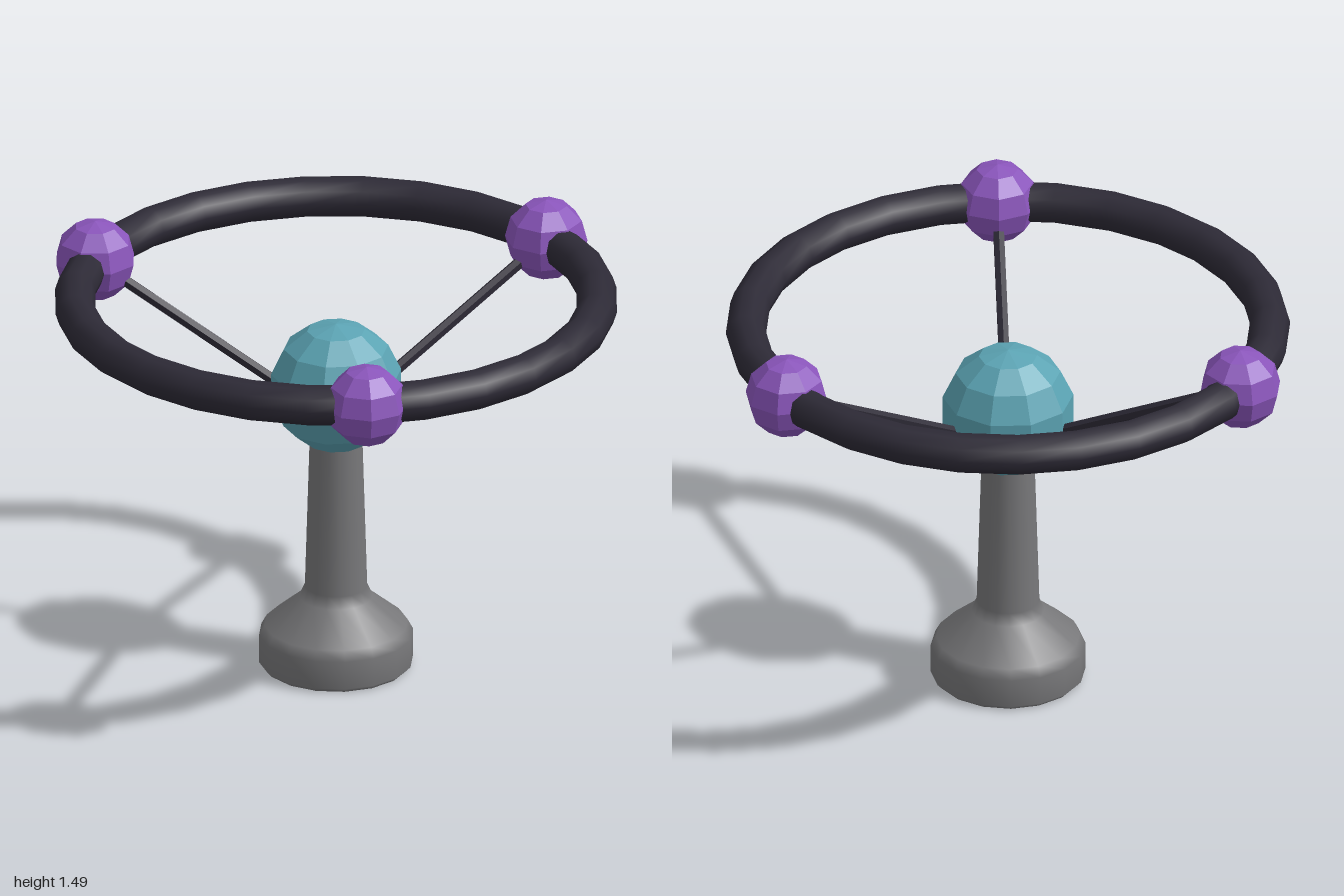
import * as THREE from 'three';

const RING_R = 0.893, RING_Y = 1.345, AXIS_Z = -0.037;

export function createModel() {
  const model = new THREE.Group();
  const mat = (color, flatShading = false) => new THREE.MeshStandardMaterial({ color, flatShading });
  const grey = mat(0x777779), dark = mat(0x2d2a36), darkFlat = mat(0x2d2a36, true);
  const teal = mat(0x5ba3b3, true), purple = mat(0x8a55bb, true);

  const add = (parent, name, geometry, material) => {
    const mesh = new THREE.Mesh(geometry, material);
    mesh.name = name;
    parent.add(mesh);
    return mesh;
  };

  // Everything turns around one vertical axis
  const body = new THREE.Group();
  body.name = 'body';
  body.position.z = AXIS_Z;
  model.add(body);

  // Weighted foot flowing into a slim, slightly tapered stem
  const profile = [
    [0.25, 0], [0.264, 0.015], [0.264, 0.115], [0.245, 0.15],
    [0.125, 0.25], [0.107, 0.29], [0.09, 0.85],
  ].map(([x, y]) => new THREE.Vector2(x, y));
  add(body, 'stand', new THREE.LatheGeometry(profile, 16), grey);
  const bottom = add(body, 'standBottom', new THREE.CircleGeometry(0.25, 16), grey);
  bottom.rotation.set(Math.PI / 2, 0, Math.PI / 2);

  // Faceted hub ball
  const hub = add(body, 'hub', new THREE.SphereGeometry(0.229, 10, 7), teal);
  hub.position.y = 1.03;

  // Horizontal ring
  const ring = add(body, 'ring', new THREE.TorusGeometry(RING_R, 0.069, 10, 28), dark);
  ring.rotation.set(Math.PI / 2, 0, Math.PI / 2);
  ring.position.y = RING_Y;

  // Three arms, each a slanted spoke and a faceted knob on the ring
  const inner = new THREE.Vector3(0, 0.995, 0.2);
  const outer = new THREE.Vector3(0, RING_Y - 0.005, RING_R);
  const along = outer.clone().sub(inner);
  for (let i = 0; i < 3; i++) {
    const arm = new THREE.Group();
    arm.name = 'arm' + (i + 1);
    arm.rotation.y = (i * Math.PI * 2) / 3;
    body.add(arm);

    const spoke = add(arm, 'spoke', new THREE.CylinderGeometry(0.021, 0.021, along.length(), 6), darkFlat);
    spoke.position.copy(inner).add(outer).multiplyScalar(0.5);
    spoke.quaternion.setFromUnitVectors(new THREE.Vector3(0, 1, 0), along.clone().normalize());

    const knob = add(arm, 'knob', new THREE.SphereGeometry(0.142, 8, 6), purple);
    knob.position.set(0, RING_Y, RING_R);
  }
  return model;
}
